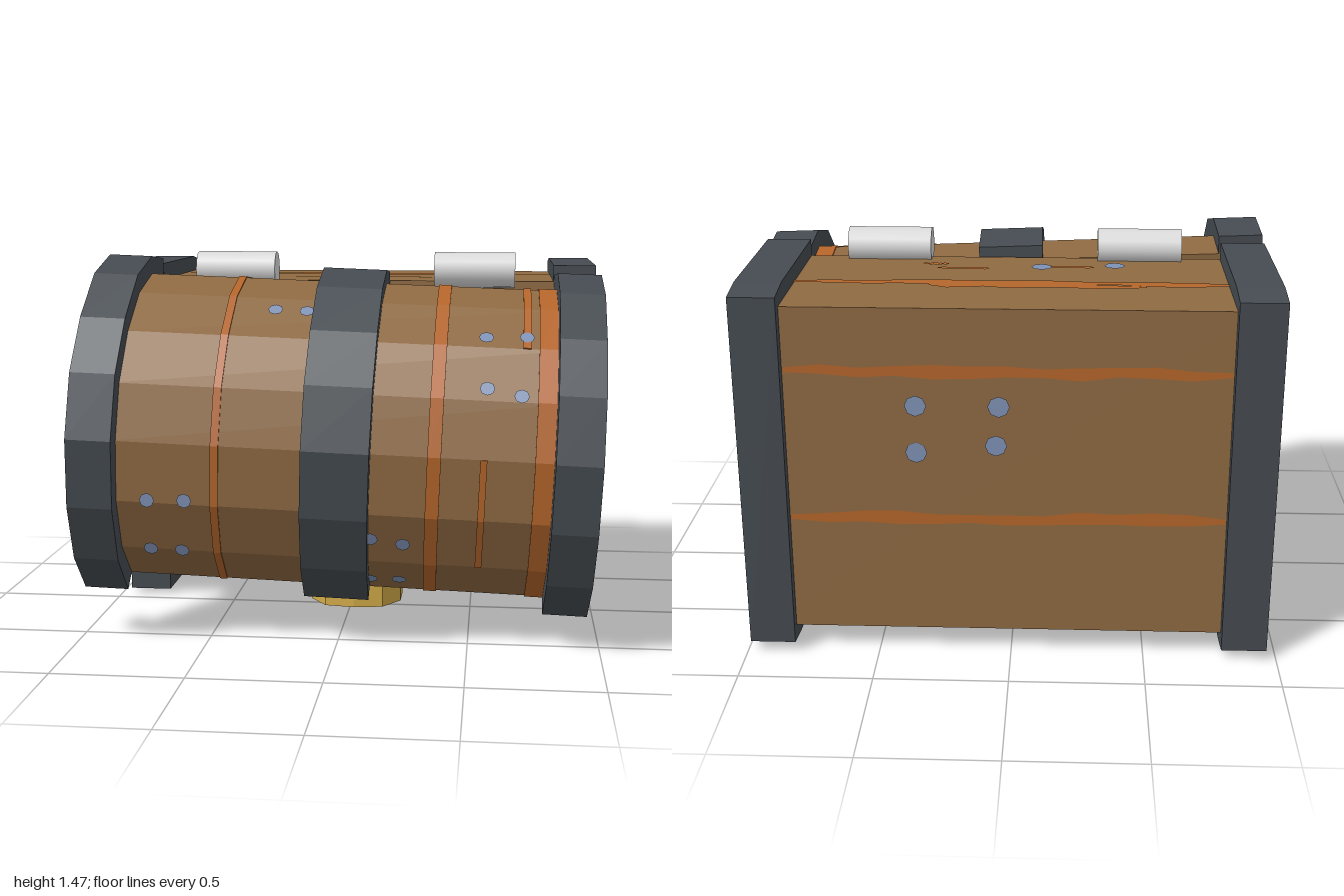
import * as THREE from 'three';

const mat = (name, color, opts = {}) => {
  const m = new THREE.MeshStandardMaterial({ color, ...opts });
  m.name = name;
  return m;
};

export function createModel() {
  const wood = mat('wood', 0x8f6a42);
  const streakMat = mat('wood streak', 0xb5662b, { side: THREE.DoubleSide });
  const nailMat = mat('nail blue', 0x7f92b5, { side: THREE.DoubleSide });
  const iron = mat('iron', 0x454b51);
  const gold = mat('gold', 0xd2ab48, { flatShading: true });
  const steel = mat('hinge steel', 0xdadada);

  let seed = 7;
  const rand = () => (seed = (seed * 16807) % 2147483647) / 2147483647;

  const root = new THREE.Group();
  root.name = 'treasureChest';
  const box = new THREE.Group();
  box.name = 'chestBody';
  box.position.x = 0.013;
  const lid = new THREE.Group();
  lid.name = 'lid';
  lid.position.x = -0.033;
  lid.rotation.set(0, 0.013, -0.037);
  root.add(box, lid);

  const add = (parent, name, geo, material) => {
    const m = new THREE.Mesh(geo, material);
    m.name = name;
    parent.add(m);
    return m;
  };
  // Side outline given as [z, y], extruded along x around cx
  const slab = (pts, width, cx) => {
    const shape = new THREE.Shape(pts.map(p => new THREE.Vector2(p[0], p[1])));
    return new THREE.ExtrudeGeometry(shape, { depth: width, bevelEnabled: false })
      .translate(0, 0, -width / 2).rotateY(-Math.PI / 2).translate(cx, 0, 0);
  };
  const block = (parent, name, x0, x1, y0, y1, z0, z1) =>
    add(parent, name, new THREE.BoxGeometry(x1 - x0, y1 - y0, z1 - z0)
      .translate((x0 + x1) / 2, (y0 + y1) / 2, (z0 + z1) / 2), wood);

  // Flat painted marks: irregular streak along local x, and round nail head
  const streakGeo = (len, w) => {
    const n = 12, top = [], low = [];
    for (let i = 0; i <= n; i++) {
      const x = (i / n - 0.5) * len, mid = (rand() - 0.5) * w * 0.3;
      const h = w * (i % n === 0 ? 0.2 : 0.35 + rand() * 0.25);
      top.push(new THREE.Vector2(x, mid + h));
      low.unshift(new THREE.Vector2(x, mid - h));
    }
    return new THREE.ShapeGeometry(new THREE.Shape([...low, ...top]));
  };
  const streak = (parent, len, w, pos, rx, ry, rz = 0) => add(parent, 'woodStreak',
    streakGeo(len, w).rotateZ(rz).rotateX(rx).rotateY(ry).translate(...pos), streakMat);
  const nail = (parent, r, pos, normal) => {
    const q = new THREE.Quaternion().setFromUnitVectors(
      new THREE.Vector3(0, 0, 1), new THREE.Vector3(...normal).normalize());
    add(parent, 'nailHead', new THREE.CircleGeometry(r, 8).applyQuaternion(q).translate(...pos), nailMat);
  };

  // Body: open towards the front
  block(box, 'backPanel', -0.89, 0.89, 0.09, 1.355, -0.77, -0.71);
  block(box, 'topPanel', -0.89, 0.89, 1.3, 1.355, -0.71, -0.07);
  block(box, 'bottomPanel', -0.89, 0.89, 0.09, 0.145, -0.71, -0.07);
  for (const s of [-1, 1]) {
    block(box, 'endPanel', s * 0.86 - 0.03, s * 0.86 + 0.03, 0.145, 1.3, -0.71, -0.07);
    // C-shaped iron frame with trimmed back corners
    add(box, 'bodyBand', slab([
      [-0.07, 0.02], [-0.07, 0.09], [-0.77, 0.09], [-0.77, 1.355], [-0.07, 1.355], [-0.07, 1.42],
      [-0.68, 1.42], [-0.815, 1.4], [-0.815, 0.04], [-0.68, 0.02]], 0.17, s * 0.89), iron);
    for (const z of [-0.21, -0.59])
      streak(box, 1.24, 0.028, [s * 0.894, 0.72, z], 0, s * Math.PI / 2, Math.PI / 2);
    for (const [z, y] of [[-0.31, 0.66], [-0.42, 0.645], [-0.32, 0.455], [-0.435, 0.47]])
      nail(box, 0.028, [s * 0.894, y, z], [s, 0, 0]);
  }
  streak(box, 1.62, 0.055, [0, 1.359, -0.45], -Math.PI / 2, 0);
  streak(box, 0.8, 0.05, [-0.1, 1.36, -0.49], -Math.PI / 2, 0);
  for (const [x, z, l] of [[-0.2, -0.22, 0.22], [0.19, -0.25, 0.2], [0.3, -0.19, 0.1]])
    streak(box, l, 0.025, [x, 1.359, z], -Math.PI / 2, 0);
  nail(box, 0.04, [-0.39, 1.361, -0.205], [0, 1, 0]);
  nail(box, 0.04, [-0.11, 1.361, -0.23], [0, 1, 0]);
  for (const y of [1.12, 0.55]) streak(box, 1.6, 0.045, [0, y, -0.774], 0, Math.PI);
  for (const [x, y] of [[0.33, 0.99], [0.33, 0.81], [0.03, 0.99], [0.04, 0.84]])
    nail(box, 0.04, [x, y, -0.775], [0, 0, -1]);
  for (const [x, z] of [[0.3, -0.2], [0.18, -0.25], [-0.4, -0.3], [-0.52, -0.3], [-0.42, -0.45], [-0.55, -0.46]])
    nail(box, 0.03, [x, 0.086, z], [0, -1, 0]);

  // Lid outlines, front lower edge round to the hinge
  const raise = pts => pts.map(([z, y]) => [z + 0.012, y + 0.033]);
  const woodLine = raise([[0.435, 0.175], [0.6, 0.32], [0.7, 0.52], [0.72, 0.75], [0.67, 0.96],
    [0.54, 1.14], [0.36, 1.27], [0.14, 1.33], [-0.07, 1.31]]);
  const ironLine = raise([[0.49, 0.12], [0.66, 0.28], [0.765, 0.5], [0.797, 0.76], [0.735, 1.0],
    [0.59, 1.19], [0.39, 1.34], [0.15, 1.4], [-0.07, 1.38]]);
  const normalAt = (pts, i) => {
    const a = pts[Math.max(i - 1, 0)], b = pts[Math.min(i + 1, pts.length - 1)];
    const dz = b[0] - a[0], dy = b[1] - a[1], l = Math.hypot(dz, dy);
    return [dy / l, -dz / l];
  };
  const offset = (pts, d) => pts.map((p, i) => {
    const n = normalAt(pts, i);
    return [p[0] + n[0] * d, p[1] + n[1] * d];
  });
  const ring = (outer, inner) => [...outer, ...[...inner].reverse()];

  add(lid, 'lidShell', slab(ring(woodLine, offset(woodLine, -0.05)), 1.66, 0), wood);
  for (const s of [-1, 1]) {
    add(lid, 'lidEnd', slab(woodLine, 0.06, s * 0.86), wood);
    add(lid, 'lidBand', slab(ring(ironLine, woodLine), 0.17, s * 0.89), iron);
    const tilt = s > 0 ? 1.147 : Math.PI - 1.147;
    streak(lid, 0.74, 0.075, [s * 0.894, 0.92, 0.535], 0, s * Math.PI / 2, tilt);
    streak(lid, 1.06, 0.04, [s * 0.894, 0.82, 0.3], 0, s * Math.PI / 2, tilt);
    for (const [z, y] of [[0.45, 0.935], [0.38, 0.885], [0.535, 0.79], [0.43, 0.745]])
      nail(lid, 0.022, [s * 0.896, y + 0.033, z + 0.012], [s, 0, 0]);
  }
  add(lid, 'lidMiddleBand', slab(ring(offset(ironLine, -0.016), woodLine), 0.25, 0.012), iron);

  // Streaks wrapped over the curved lid
  for (const [x, w, from, to] of [[-0.437, 0.03, 0, 9], [0.37, 0.05, 0, 9], [0.77, 0.07, 0, 9],
    [0.55, 0.025, 1, 4], [0.69, 0.03, 5, 8]]) {
    const line = woodLine.slice(from, to);
    add(lid, 'lidStreak', slab(ring(offset(line, 0.005), line), w, x), streakMat);
  }
  // Nail heads placed on the curve by height
  for (const [x, yw] of [[-0.25, 1.27], [-0.13, 1.265], [-0.7, 0.59], [-0.56, 0.59], [-0.71, 0.385],
    [-0.59, 0.38], [0.13, 0.45], [0.25, 0.43], [0.12, 0.26], [0.23, 0.26], [0.55, 1.18], [0.7, 1.18],
    [0.555, 1.01], [0.68, 0.985]]) {
    const y = yw + 0.037 * x;
    const i = woodLine.findIndex((p, k) => k < 7 && p[1] <= y && woodLine[k + 1][1] > y);
    const a = woodLine[i], b = woodLine[i + 1], t = (y - a[1]) / (b[1] - a[1]);
    const n = normalAt([a, b], 0);
    nail(lid, 0.028, [x + 0.033 - 0.037 * y, y + n[1] * 0.008, a[0] + (b[0] - a[0]) * t + n[0] * 0.008],
      [0, n[1], n[0]]);
  }

  // Hinge barrels
  for (const x of [-0.475, 0.5])
    add(root, 'hinge', new THREE.CylinderGeometry(0.072, 0.072, 0.325, 12)
      .rotateZ(Math.PI / 2).translate(x, 1.4, -0.06), steel);

  // Lock plate with keyhole, under the front edge
  const half = [[0.12, -0.04], [0.19, 0.06], [0.19, 0.18], [0.1, 0.25], [0.08, 0.3], [0.12, 0.36], [0.07, 0.4]];
  const plate = new THREE.Shape([...half, ...half.map(([x, y]) => [-x, y]).reverse(), [0, -0.06]]
    .map(p => new THREE.Vector2(...p)));
  plate.holes.push(new THREE.Path([[0, 0.05], [0.05, 0.08], [0.05, 0.13], [0.025, 0.16], [0.04, 0.24],
    [-0.04, 0.24], [-0.025, 0.16], [-0.05, 0.13], [-0.05, 0.08]].map(p => new THREE.Vector2(...p))));
  add(root, 'lockPlate', new THREE.ExtrudeGeometry(plate, { depth: 0.105, bevelEnabled: false })
    .rotateX(-Math.PI / 2).translate(0.015, 0, 0), gold);

  // Treasure: gold heap faced with tumbled coins
  const treasure = new THREE.Group();
  treasure.name = 'treasure';
  root.add(treasure);
  add(treasure, 'goldHeap', new THREE.BoxGeometry(1.62, 1.1, 0.5).translate(0.013, 0.72, -0.4), gold);
  const r = 0.15;
  const coinGeo = new THREE.LatheGeometry([[0, -0.018], [r * 0.72, -0.018], [r * 0.76, -0.032], [r, -0.032],
    [r, 0.032], [r * 0.76, 0.032], [r * 0.72, 0.018], [0, 0.018]].map(p => new THREE.Vector2(...p)), 10)
    .rotateX(Math.PI / 2);
  for (let j = 0; j < 5; j++) for (let i = 0; i < 7; i++) {
    const coin = add(treasure, 'coin', coinGeo, gold);
    const y = 0.34 + j * 0.195;
    const bulge = 1 - Math.abs(y - 0.68) / 0.5;
    coin.position.set(-0.63 + i * 0.212 + (rand() - 0.5) * 0.08, y, -0.1 + bulge * 0.08 + rand() * 0.03);
    coin.rotation.set((rand() - 0.5) * 0.7, (rand() - 0.5) * 0.9, rand() * 3);
  }
  return root;
}
